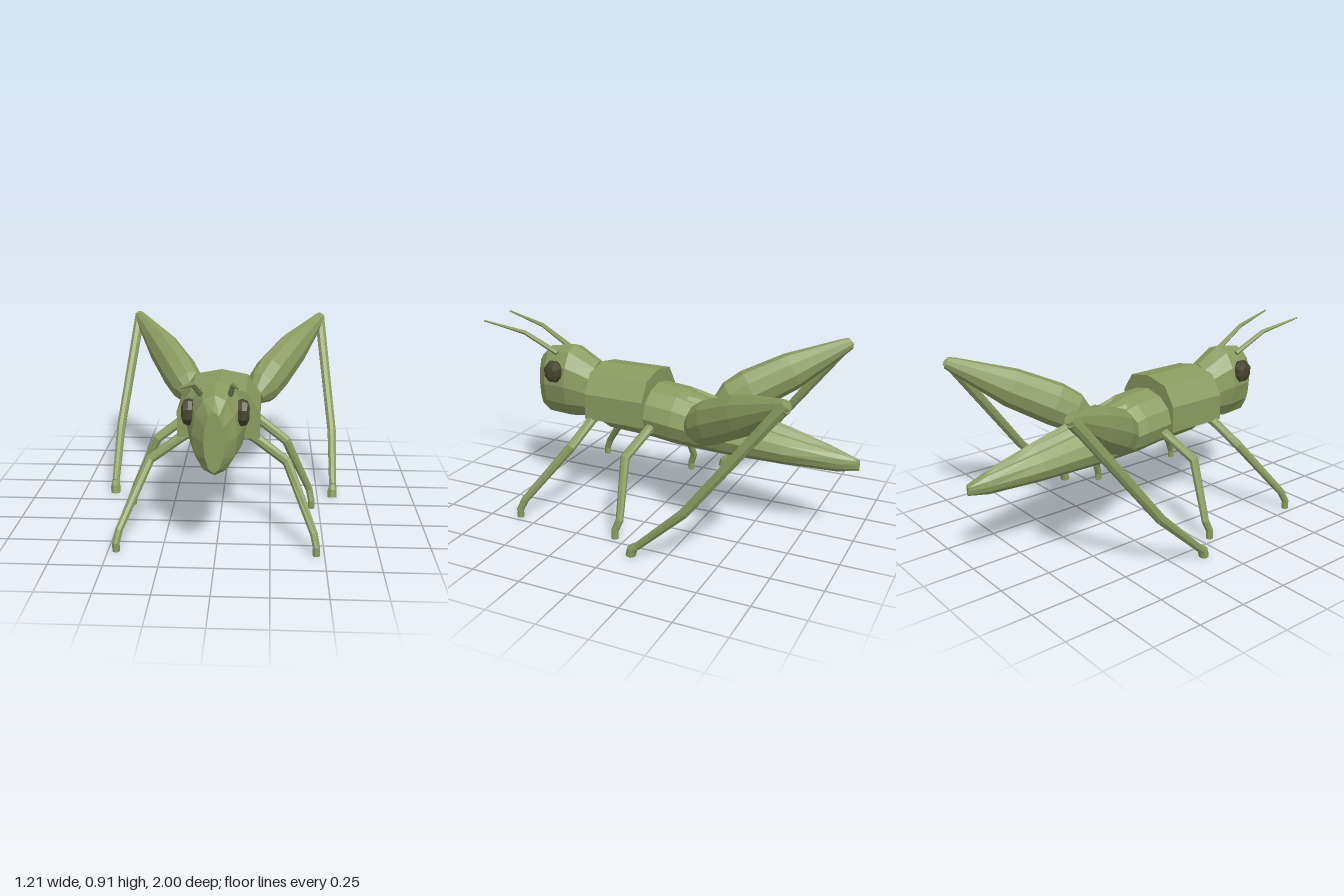
import * as THREE from 'three';

const V = (p) => new THREE.Vector3(...p);
const green = new THREE.MeshStandardMaterial({ color: 0x8b9b60, flatShading: true });
const dark = new THREE.MeshStandardMaterial({ color: 0x47452f, flatShading: true });

// Loft through stations [x, y, z, rx, ry]; rings follow the path, or all face a fixed axis.
function loft(name, stations, { sides = 8, ref = [0, 1, 0], axis = null, phase = 0, material = green } = {}) {
  const centres = stations.map((s) => V(s.slice(0, 3)));
  const last = centres.length - 1;
  const rings = stations.map(([, , , rx, ry = rx], i) => {
    const t = axis ? V(axis) : new THREE.Vector3();
    if (!axis) {
      if (i > 0) t.add(centres[i].clone().sub(centres[i - 1]).normalize());
      if (i < last) t.add(centres[i + 1].clone().sub(centres[i]).normalize());
    }
    t.normalize();
    const side = V(ref).cross(t).normalize();
    const up = t.clone().cross(side);
    return Array.from({ length: sides }, (_, j) => {
      const a = ((j + phase) / sides) * Math.PI * 2;
      const v = centres[i].clone().addScaledVector(side, Math.cos(a) * rx).addScaledVector(up, Math.sin(a) * ry);
      v.y = Math.max(0, v.y); // feet end flat on the floor
      return v;
    });
  });
  const points = [];
  for (let j = 0; j < sides; j++) {
    const k = (j + 1) % sides;
    for (let i = 0; i < last; i++) {
      const [a, b, c, d] = [rings[i][j], rings[i][k], rings[i + 1][j], rings[i + 1][k]];
      points.push(a, b, c, b, d, c);
    }
    points.push(centres[0], rings[0][k], rings[0][j]);
    points.push(centres[last], rings[last][j], rings[last][k]);
  }
  const geometry = new THREE.BufferGeometry().setFromPoints(points);
  geometry.computeVertexNormals();
  const mesh = new THREE.Mesh(geometry, material);
  mesh.name = name;
  return mesh;
}

export function createModel() {
  const model = new THREE.Group();
  model.name = 'grasshopper';
  const alongZ = { sides: 12, axis: [0, 0, -1] };

  // Long tapering abdomen
  model.add(loft('abdomen', [
    [0, 0.55, 0.38, 0.105, 0.13],
    [0, 0.53, 0.28, 0.15, 0.142],
    [0, 0.523, 0.04, 0.183, 0.139],
    [0, 0.508, -0.1, 0.182, 0.142],
    [0, 0.465, -0.36, 0.155, 0.111],
    [0, 0.43, -0.65, 0.105, 0.08],
    [0, 0.402, -0.9, 0.042, 0.052],
    [0, 0.395, -1, 0.006, 0.026],
  ], alongZ));

  // Head with a flat oval face
  model.add(loft('head', [
    [0, 0.58, 0.72, 0.045, 0.14],
    [0, 0.594, 0.66, 0.1, 0.184],
    [0, 0.605, 0.52, 0.136, 0.197],
    [0, 0.577, 0.38, 0.108, 0.148],
  ], alongZ));

  // Faceted shield over the thorax
  const half = [[0.195, 0.48], [0.195, 0.61], [0.13, 0.705]];
  const outline = [...half, [0, 0.73], ...half.map(([x, y]) => [-x, y]).reverse()];
  const shieldShape = new THREE.Shape(outline.map(([x, y]) => new THREE.Vector2(x, y)));
  const shield = new THREE.Mesh(
    new THREE.ExtrudeGeometry(shieldShape, { depth: 0.32, bevelEnabled: false }), green);
  shield.position.z = 0.04;
  shield.name = 'thoraxShield';
  model.add(shield);

  for (const [label, s] of [['left', 1], ['right', -1]]) {
    const add = (name, stations, options) =>
      model.add(loft(label + name, stations.map(([x, ...rest]) => [x * s, ...rest]), options));
    const limb = { sides: 8, ref: [0, 0, 1], phase: 0.5 };

    // Folded wing, meeting its twin in a ridge along the back
    add('Wing', [
      [0.07, 0.59, 0.06, 0.06, 0.05],
      [0.06, 0.58, -0.15, 0.06, 0.055],
      [0.035, 0.53, -0.4, 0.045, 0.055],
      [0.02, 0.485, -0.65, 0.03, 0.043],
      [0.01, 0.445, -0.85, 0.016, 0.03],
      [0.003, 0.41, -1, 0.004, 0.014],
    ], { sides: 4, axis: [0, 0, -1] });

    // Bevelled eye
    add('Eye', [
      [0.1, 0.677, 0.585, 0.045, 0.056],
      [0.118, 0.677, 0.585, 0.052, 0.062],
      [0.14, 0.677, 0.585, 0.046, 0.054],
      [0.15, 0.677, 0.585, 0.022, 0.028],
    ], { axis: [s, 0, 0], phase: 0.5, material: dark });

    // Antenna
    add('Antenna', [
      [0.066, 0.762, 0.59, 0.014],
      [0.085, 0.855, 0.77, 0.011],
      [0.118, 0.902, 1, 0.004],
    ], { sides: 6 });

    // Front and middle legs share one bend
    const bends = { FrontLeg: [0.3, 0.33, 0.37, 0.575, 0.6], MiddleLeg: [0.0, 0.012, 0.065, 0.035, 0.055] };
    for (const [name, z] of Object.entries(bends)) {
      add(name, [
        [0.1, 0.51, z[0], 0.025],
        [0.18, 0.47, z[1], 0.025],
        [0.325, 0.37, z[2], 0.024],
        [0.45, 0.095, z[3], 0.019],
        [0.462, 0.04, z[4], 0.018],
        [0.462, 0, z[4], 0.018],
      ], limb);
    }

    // Swollen hind thigh
    add('HindThigh', [
      [0.165, 0.515, -0.215, 0.045, 0.05],
      [0.2, 0.55, -0.28, 0.085, 0.102],
      [0.25, 0.6, -0.36, 0.092, 0.112],
      [0.36, 0.695, -0.54, 0.08, 0.1],
      [0.51, 0.815, -0.765, 0.034, 0.04],
      [0.528, 0.83, -0.795, 0.026, 0.03],
    ], { sides: 10 });

    // Thin hind shin and foot
    add('HindShin', [
      [0.522, 0.835, -0.79, 0.028],
      [0.585, 0.28, -0.365, 0.024],
      [0.582, 0.055, -0.125, 0.019],
    ], limb);
    add('HindFoot', [
      [0.582, 0.055, -0.12, 0.02],
      [0.58, 0.035, -0.1, 0.025],
      [0.58, 0, -0.092, 0.025],
    ], limb);
  }
  return model;
}
